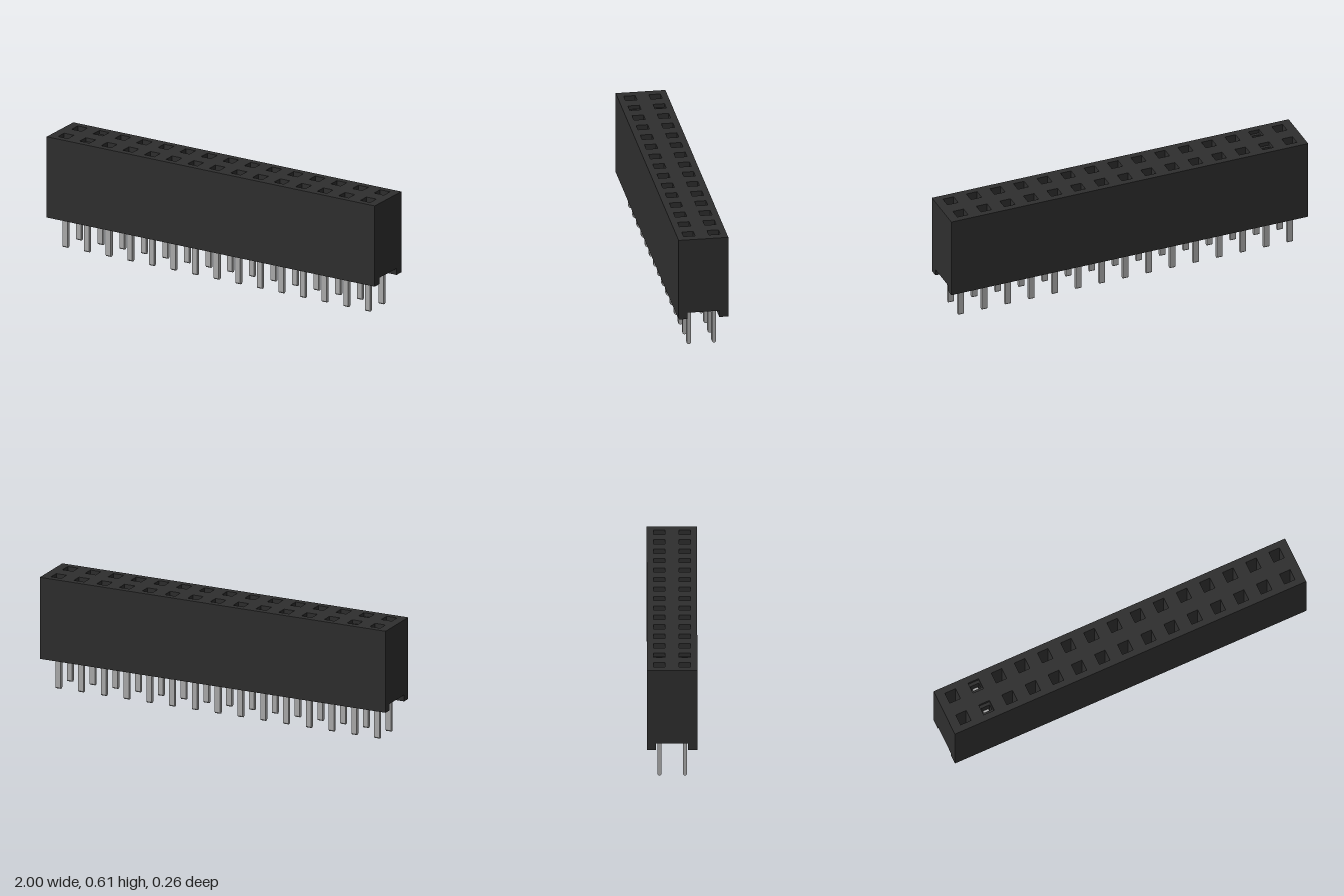
import * as THREE from 'three';

const COLUMNS = 15, PITCH = 0.1317, ROW_Z = 0.066;
const TOP = 0.61, FLOOR = 0.31, BOTTOM = 0.167, GROOVE = 0.202;

const polygon = (pts) => new THREE.Shape(pts.map(([x, y]) => new THREE.Vector2(x, y)));
const rect = (cx, cy, w, h) => polygon([
  [cx - w / 2, cy - h / 2], [cx + w / 2, cy - h / 2],
  [cx + w / 2, cy + h / 2], [cx - w / 2, cy + h / 2]]);

// Extrude a plan shape upward from y0 to y1
function extrudeUp(shape, y0, y1) {
  const g = new THREE.ExtrudeGeometry(shape, { depth: y1 - y0, bevelEnabled: false });
  return g.rotateX(-Math.PI / 2).translate(0, y0, 0);
}

// Extrude a side profile (z, y) along x, centred on x = 0
function extrudeAcross(shape, width) {
  const g = new THREE.ExtrudeGeometry(shape, { depth: width, bevelEnabled: false });
  return g.translate(0, 0, -width / 2).rotateY(Math.PI / 2);
}

// Flat pin with a chamfered tip
function pinGeometry(top) {
  const w = 0.0105, c = 0.006;
  return extrudeAcross(polygon([
    [-w + c, 0], [w - c, 0], [w, c], [w, top], [-w, top], [-w, c]]), 0.03);
}

export function createModel() {
  const group = new THREE.Group();
  const plastic = new THREE.MeshStandardMaterial({ color: 0x2e2e2e });
  plastic.name = 'black plastic';
  const metal = new THREE.MeshStandardMaterial({ color: 0xacacac });
  metal.name = 'grey metal';

  const add = (name, geometry, material, x = 0, z = 0) => {
    const mesh = new THREE.Mesh(geometry, material);
    mesh.name = name;
    mesh.position.set(x, 0, z);
    group.add(mesh);
  };

  // Upper housing, pierced by two rows of square sockets
  const plan = rect(0, 0, 2, 0.26);
  const shortPin = pinGeometry(0.25), longPin = pinGeometry(0.55);
  const slotted = rect(0, 0, 0.06, 0.06);
  slotted.holes.push(rect(0, 0, 0.048, 0.028));
  const insert = extrudeUp(slotted, FLOOR, 0.59);

  for (let i = 0; i < COLUMNS; i++) {
    const x = (i - (COLUMNS - 1) / 2) * PITCH;
    for (const z of [-ROW_Z, ROW_Z]) {
      plan.holes.push(rect(x, z, 0.06, 0.06));
      // The second column has slotted inserts with the contact showing
      const open = i === 1;
      add('pin', open ? longPin : shortPin, metal, x, z);
      if (open) add('socketInsert', insert, plastic, x, z);
    }
  }
  add('socketHousing', extrudeUp(plan, FLOOR, TOP), plastic);

  // Lower housing with a groove between two rails
  add('base', extrudeAcross(polygon([
    [-0.13, BOTTOM], [-0.083, BOTTOM], [-0.083, GROOVE], [0.083, GROOVE],
    [0.083, BOTTOM], [0.13, BOTTOM], [0.13, FLOOR], [-0.13, FLOOR]]), 2), plastic);

  return group;
}
